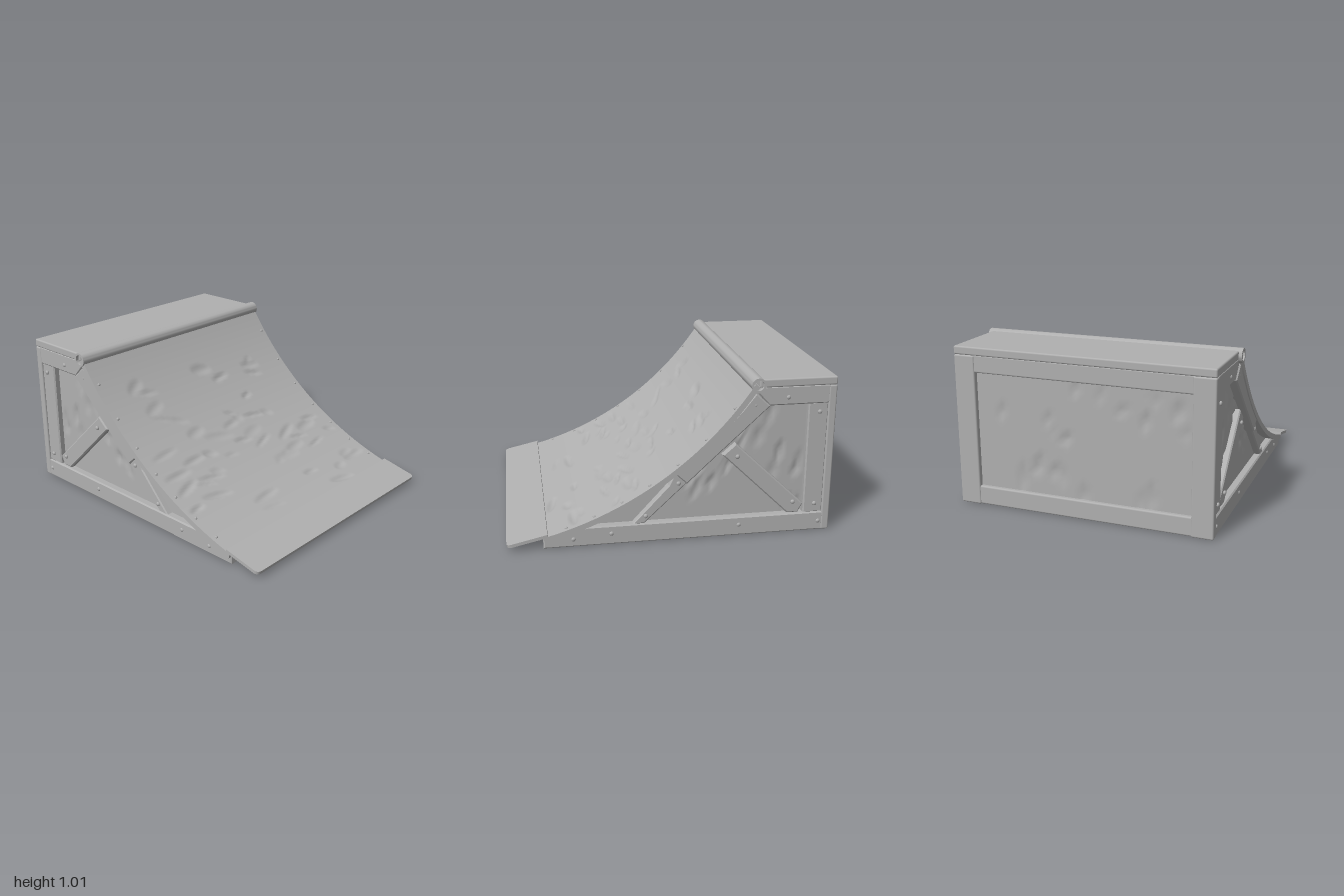
import * as THREE from 'three';
import { toCreasedNormals } from 'three/addons/utils/BufferGeometryUtils.js';
import { RoundedBoxGeometry } from 'three/addons/geometries/RoundedBoxGeometry.js';

// Ramp arc: circle centre and radius in the side plane
const CX = 1.3, CY = 2.169, R = 2.155;
const arcY = (x) => CY - Math.sqrt(R * R - (CX - x) ** 2);

export function createModel() {
  const model = new THREE.Group();
  model.name = 'skateRamp';
  const grey = new THREE.MeshStandardMaterial({ color: 0xb0b0b0 });
  grey.name = 'plain grey';

  let seed = 11;
  const rand = (a = 0, b = 1) => {
    seed = (seed * 16807) % 2147483647;
    return a + (b - a) * (seed / 2147483647);
  };

  const add = (name, geometry, parent = model) => {
    const mesh = new THREE.Mesh(geometry, grey);
    mesh.name = name;
    parent.add(mesh);
    return mesh;
  };

  // Returns a depth function made of long, shallow gouges over a rectangle
  const gouges = (count, u0, u1, v0, v1, lu, lv, depth) => {
    const list = Array.from({ length: count }, () => ({
      u: rand(u0, u1), v: rand(v0, v1), tilt: rand(-0.35, 0.35),
      lu: lu * rand(0.6, 1.5), lv: lv * rand(0.6, 1.5), d: depth * rand(0.4, 1),
    }));
    return (u, v) => list.reduce((sum, g) => {
      const a = u - g.u, b = v - g.v;
      const q = ((a + b * g.tilt) / g.lu) ** 2 + ((b - a * g.tilt) / g.lv) ** 2;
      return Math.max(sum, g.d * Math.max(0, 1 - q));
    }, 0);
  };

  // Moves every vertex of a subdivided unit box by a rule
  const shapedBox = (sx, sy, sz, rule) => {
    const g = new THREE.BoxGeometry(1, 1, 1, sx, sy, sz);
    const p = g.attributes.position;
    for (let i = 0; i < p.count; i++) {
      p.setXYZ(i, ...rule(p.getX(i), p.getY(i), p.getZ(i)));
    }
    g.computeVertexNormals();
    return g;
  };

  // Plank with a bevelled outline in the side plane, between z0 and z1
  const plank = (points, z0, z1) => {
    const b = 0.008;
    const g = new THREE.ExtrudeGeometry(
      new THREE.Shape(points.map(([x, y]) => new THREE.Vector2(x, y))),
      { depth: z1 - z0 - 2 * b, bevelSize: b, bevelThickness: b, bevelOffset: -b, bevelSegments: 1 });
    return g.translate(0, 0, z0 + b);
  };

  const box = (name, x0, x1, y0, y1, z0, z1, parent) => {
    const g = new RoundedBoxGeometry(x1 - x0, y1 - y0, z1 - z0, 2, 0.01);
    g.translate((x0 + x1) / 2, (y0 + y1) / 2, (z0 + z1) / 2);
    return add(name, g, parent);
  };

  // Solid core: recessed side panels, back panel and underside
  const sideWear = gouges(26, -0.8, 0.4, 0.15, 0.8, 0.025, 0.07, 0.02);
  const backWear = gouges(18, -0.65, 0.65, 0.15, 0.8, 0.025, 0.07, 0.016);
  add('innerPanels', shapedBox(70, 32, 50, (a, b, c) => {
    const x = -0.97 + (a + 0.5) * 1.73;
    const top = x < -0.5 ? 0.95 : arcY(x) - 0.025;
    const y = 0.002 + (b + 0.5) * (top - 0.002);
    const z = c * 1.53;
    const dz = Math.abs(c) > 0.499 ? Math.sign(c) * sideWear(x, y) : 0;
    const dx = a < -0.499 ? backWear(z, y) : 0;
    return [x + dx, y, z - dz];
  }));

  // Curved riding surface, worn across the grain
  const rideWear = gouges(48, -0.4, 0.72, -0.75, 0.75, 0.022, 0.085, 0.014);
  add('ridingSurface', shapedBox(110, 1, 130, (a, b, c) => {
    const x = -0.49 + (a + 0.5) * 1.27, z = c * 1.65, y = arcY(x);
    const drop = b > 0 ? rideWear(x, z) : 0.035;
    return [x - (CX - x) / R * drop, y - (CY - y) / R * drop, z];
  }));

  // Thin lip plate with rounded outer corners
  const w = 0.83, len = 0.25, r = 0.035;
  const lip = new THREE.Shape();
  lip.moveTo(0, -w);
  lip.lineTo(len - r, -w);
  lip.quadraticCurveTo(len, -w, len, -w + r);
  lip.lineTo(len, w - r);
  lip.quadraticCurveTo(len, w, len - r, w);
  lip.lineTo(0, w);
  lip.closePath();
  const lipGeo = new THREE.ExtrudeGeometry(lip, { depth: 0.02, bevelEnabled: false });
  lipGeo.rotateX(Math.PI / 2);
  const lipMesh = add('lipPlate', lipGeo);
  lipMesh.position.set(0.756, 0.1, 0);
  lipMesh.rotation.z = -0.22;

  // Front foot beam under the lip
  box('footBeam', 0.7, 0.78, 0, 0.068, -0.81, 0.81);

  // Deck
  box('deck', -1, -0.52, 0.945, 0.997, -0.815, 0.815);

  // Hollow coping pipe
  const ring = [[0.031, -0.835], [0.045, -0.835], [0.045, 0.835], [0.031, 0.835], [0.031, -0.835]];
  const pipe = new THREE.LatheGeometry(ring.map(([x, y]) => new THREE.Vector2(x, y)), 28);
  const coping = add('copingPipe', toCreasedNormals(pipe, 0.7));
  coping.rotation.x = Math.PI / 2;
  coping.position.set(-0.51, 0.965, 0);

  // Back frame
  for (const s of [-1, 1]) {
    const z = [s * 0.68, s * 0.815].sort((p, q) => p - q);
    box('backPost', -1, -0.95, 0, 0.945, ...z);
  }
  box('backTopRail', -0.995, -0.94, 0.84, 0.95, -0.7, 0.7);
  box('backBottomRail', -0.995, -0.94, 0.002, 0.12, -0.7, 0.7);

  // Timber frame on each side
  const boltSpots = [[-0.9, 0.78], [-0.9, 0.18], [-0.76, 0.2], [-0.4, 0.52], [-0.7, 0.88],
    [-0.5, 0.84], [-0.04, 0.37], [0.16, 0.17], [-0.93, 0.06], [0.37, 0.07], [0.6, 0.05], [-0.42, 0.07]];
  for (const s of [-1, 1]) {
    const side = new THREE.Group();
    side.name = s > 0 ? 'frontSideFrame' : 'rearSideFrame';
    model.add(side);
    const span = (near, far) => (s > 0 ? [near, far] : [-far, -near]);
    const timber = (name, points, far = 0.812) => add(name, plank(points, ...span(0.74, far)), side);

    timber('bottomRail', [[-0.96, 0], [0.78, 0], [0.78, 0.055], [0.52, 0.122], [-0.96, 0.122]]);
    timber('sidePost', [[-0.955, 0.118], [-0.83, 0.118], [-0.83, 0.84], [-0.955, 0.84]], 0.805);
    timber('topRail', [[-0.96, 0.832], [-0.585, 0.832], [-0.5, 0.925], [-0.52, 0.95], [-0.96, 0.95]]);
    timber('upperArcBeam', [[-0.59, 0.832], [-0.26, 0.525], [-0.09, 0.365], [-0.01, 0.44],
      [-0.15, 0.545], [-0.29, 0.67], [-0.42, 0.815], [-0.5, 0.915]], 0.818);
    timber('lowerArcBeam', [[-0.1, 0.375], [0.17, 0.12], [0.24, 0.12], [0.02, 0.36], [-0.02, 0.44]], 0.808);
    timber('diagonalBrace', [[-0.83, 0.18], [-0.8, 0.122], [-0.73, 0.122], [-0.31, 0.53], [-0.39, 0.6]], 0.8);

    // Bolt heads
    for (const [x, y] of boltSpots) {
      const bolt = add('boltHead', new THREE.SphereGeometry(0.014, 10, 6), side);
      bolt.position.set(x, y, s * 0.81);
      bolt.scale.z = 0.7;
    }
  }

  // Screw heads along the edges of the riding surface
  for (const s of [-1, 1]) {
    for (let i = 0; i < 7; i++) {
      const x = -0.38 + i * 0.17;
      const screw = add('screwHead', new THREE.SphereGeometry(0.01, 8, 6));
      screw.position.set(x, arcY(x), s * 0.79);
    }
  }
  return model;
}
